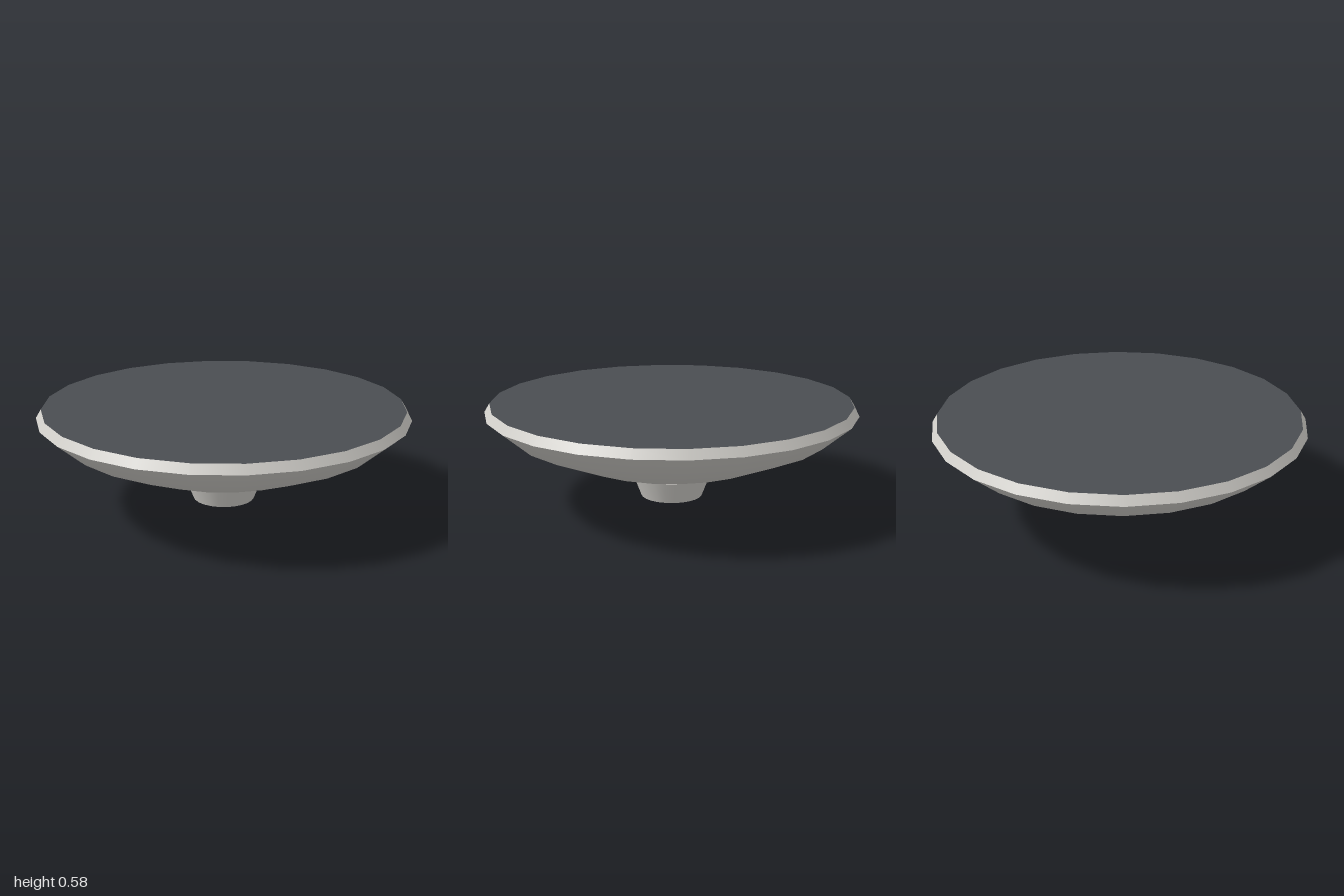
import * as THREE from 'three';

const SIDES = 24;

export function createModel() {
  const model = new THREE.Group();
  model.name = 'dish';

  const shell = new THREE.MeshStandardMaterial({ color: 0xd0cec9 });
  shell.name = 'light grey shell';
  const face = new THREE.MeshStandardMaterial({ color: 0x4a4d52 });
  face.name = 'dark slate face';

  // Turned section; the profile runs upward as [radius, height] pairs
  const turned = (name, profile) => {
    const points = profile.map(([r, y]) => new THREE.Vector2(r, y));
    const mesh = new THREE.Mesh(new THREE.LatheGeometry(points, SIDES), shell);
    mesh.name = name;
    model.add(mesh);
  };

  // Separate sections keep the creases between them sharp
  turned('hubTip', [[0, 0], [0.167, 0.05]]);
  turned('hub', [[0.167, 0.05], [0.213, 0.17]]);
  turned('bowl', [[0.2, 0.17], [0.535, 0.273], [0.85, 0.405], [1, 0.532]]);
  turned('rim', [[1, 0.532], [0.972, 0.578]]);

  // Annular ledge where the hub meets the bowl
  turned('hubLedge', [[0.213, 0.17], [0.2, 0.17]]);

  // Flat top
  const top = new THREE.Mesh(new THREE.CircleGeometry(0.972, SIDES), face);
  top.name = 'topFace';
  top.rotation.x = -Math.PI / 2;
  top.position.y = 0.578;
  model.add(top);

  return model;
}
